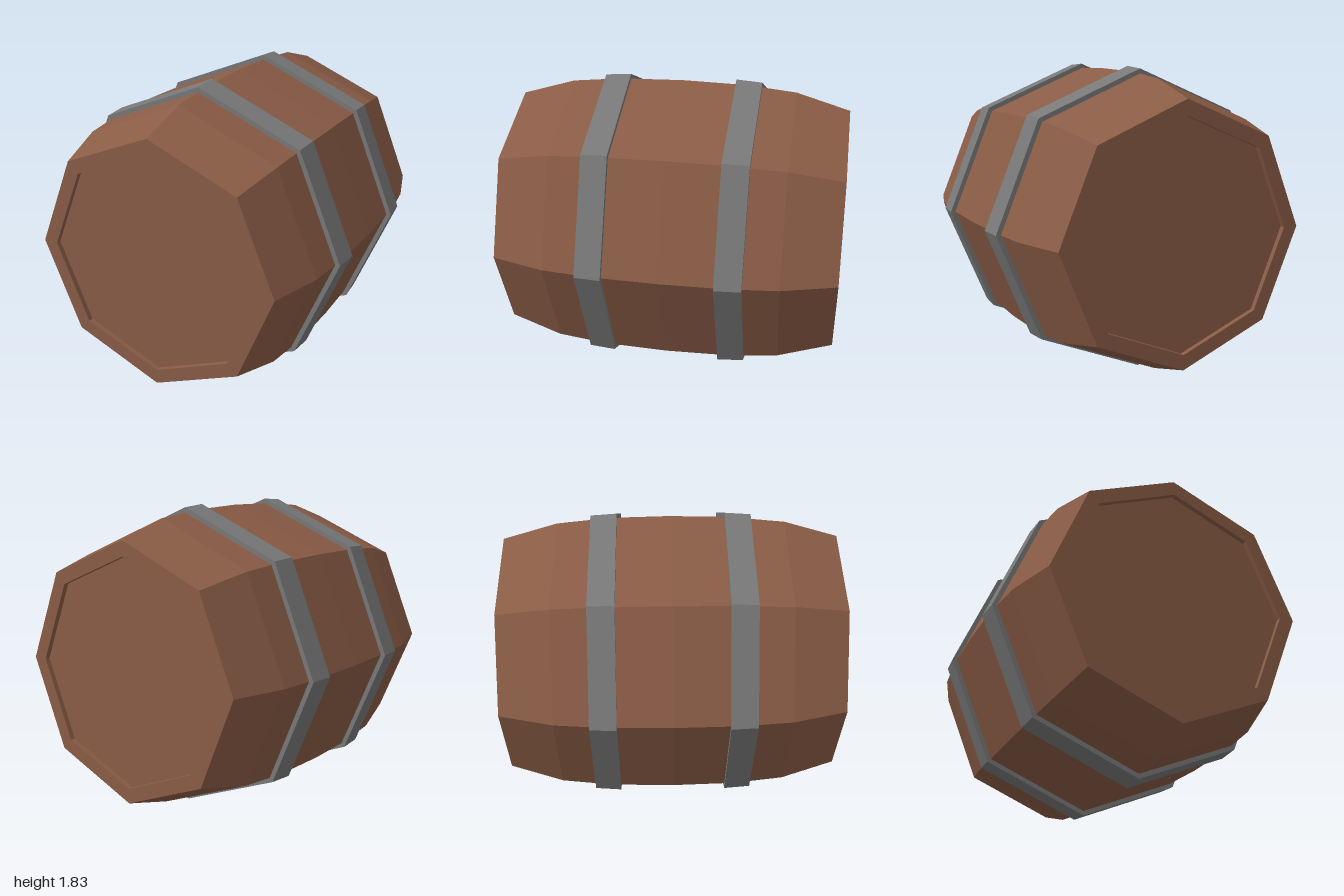
import * as THREE from 'three';

const SIDES = 8;
const AXIS_HEIGHT = 0.922;

// Faceted solid turned around the z axis from [radius, z] pairs, back to front
function turned(name, profile, material) {
  const points = profile.map(([r, z]) => new THREE.Vector2(r, z));
  const geometry = new THREE.LatheGeometry(points, SIDES);
  geometry.rotateX(Math.PI / 2);
  const mesh = new THREE.Mesh(geometry, material);
  mesh.name = name;
  return mesh;
}

export function createModel() {
  const wood = new THREE.MeshStandardMaterial({ color: 0x8a5c46, flatShading: true });
  const iron = new THREE.MeshStandardMaterial({ color: 0x787878, flatShading: true });

  const barrel = new THREE.Group();
  barrel.name = 'barrel';
  barrel.position.y = AXIS_HEIGHT;

  // Bulging body with a recessed head at each end; the half profile is mirrored
  const half = [[0, 0.97], [0.67, 0.97], [0.67, 1], [0.76, 1], [0.855, 0.68], [0.885, 0.38]];
  const back = half.map(([r, z]) => [r, -z]);
  const front = [...half].reverse();
  barrel.add(turned('body', [...back, [0.894, 0], ...front], wood));

  // Two hoops, slightly tapered toward the ends
  const hoop = [[0.86, 0.32], [0.916, 0.32], [0.905, 0.475], [0.86, 0.475], [0.86, 0.32]];
  barrel.add(turned('frontHoop', hoop, iron));
  const mirrored = hoop.map(([r, z]) => [r, -z]).reverse();
  barrel.add(turned('backHoop', mirrored, iron));

  const model = new THREE.Group();
  model.add(barrel);
  return model;
}
